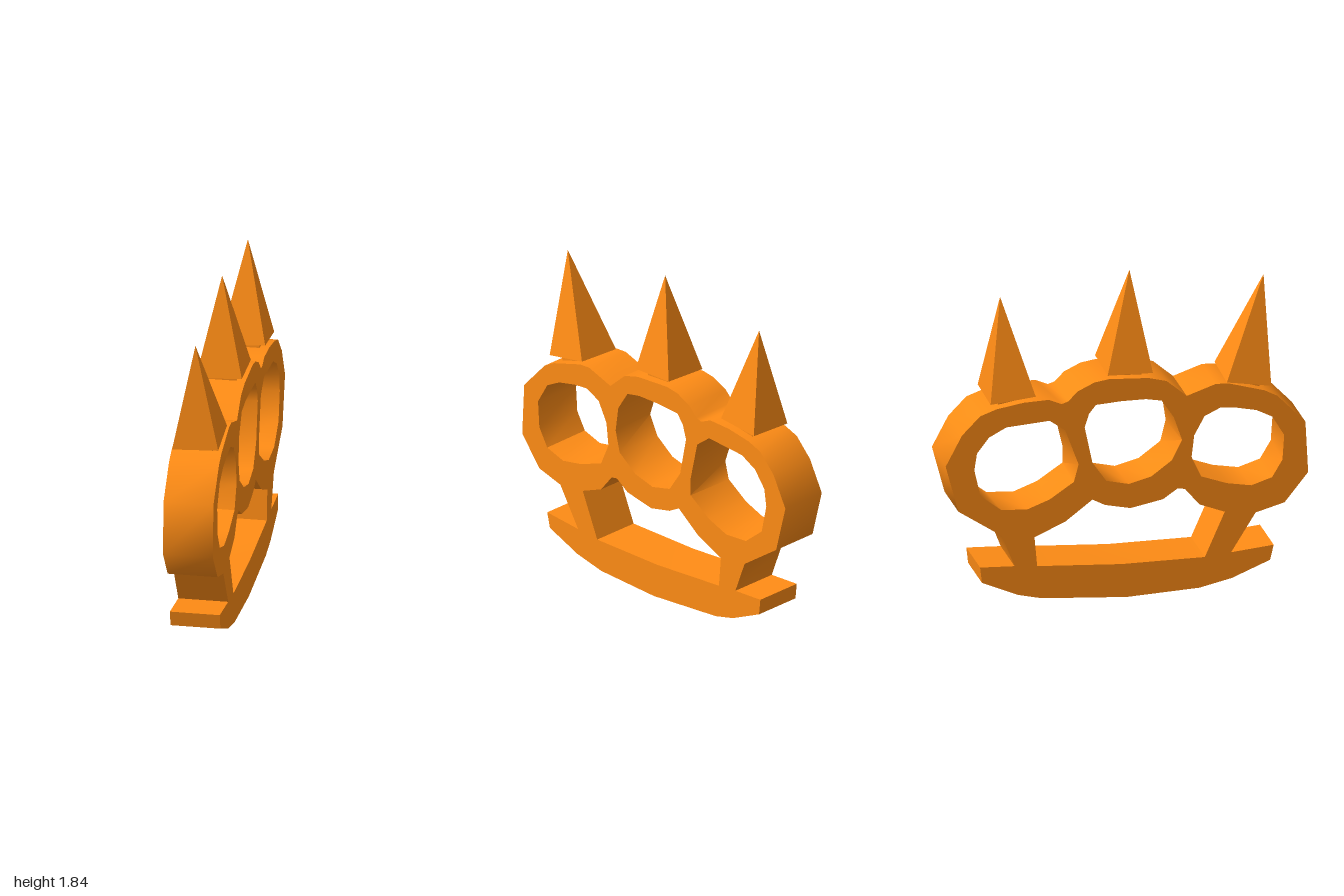
import * as THREE from 'three';
import { toCreasedNormals } from 'three/addons/utils/BufferGeometryUtils.js';

const material = new THREE.MeshStandardMaterial({ color: 0xff8c15 });
const HALF = 0.135; // half thickness of the plate

// Profiles are [z, y] pairs in the side plane
const toPoints = (pairs) => pairs.map(([z, y]) => new THREE.Vector2(-z, y));

const outline = [
  [1, 0.605], [0.985, 0.9], [0.83, 1.07], [0.76, 1.11], [0.56, 1.175], [0.49, 1.18], [0.33, 1.13],
  [0.22, 1.23], [0.12, 1.26], [-0.1, 1.28], [-0.18, 1.27], [-0.27, 1.23], [-0.325, 1.177], [-0.36, 1.167],
  [-0.43, 1.2], [-0.57, 1.2], [-0.72, 1.18], [-0.81, 1.15], [-0.91, 1.05], [-1, 0.88], [-0.93, 0.61],
  [-0.69, 0.44], [-0.62, 0.255], [-0.81, 0.27], [-0.8, 0.18], [-0.6, 0.085], [-0.47, 0.05],
  [0, 0], [0.4, 0.005], [0.58, 0.04], [0.79, 0.12], [0.81, 0.205], [0.575, 0.19], [0.71, 0.405], [0.87, 0.445],
];

const openings = [
  // front finger hole
  [[0.81, 0.96], [0.72, 1.01], [0.6, 1.04], [0.51, 1.05], [0.42, 1.01], [0.36, 0.9], [0.345, 0.77],
    [0.4, 0.645], [0.55, 0.585], [0.69, 0.555], [0.81, 0.59], [0.87, 0.69], [0.88, 0.84]],
  // middle finger hole
  [[0.2, 1.13], [0.11, 1.15], [-0.03, 1.155], [-0.18, 1.15], [-0.22, 1.1], [-0.245, 1.02], [-0.2, 0.8],
    [-0.12, 0.68], [0.01, 0.645], [0.14, 0.675], [0.26, 0.76], [0.29, 0.88], [0.27, 1.02]],
  // rear finger hole
  [[-0.33, 1.02], [-0.42, 1.09], [-0.67, 1.08], [-0.77, 1.03], [-0.84, 0.94], [-0.855, 0.84], [-0.82, 0.68],
    [-0.7, 0.58], [-0.55, 0.565], [-0.42, 0.61], [-0.28, 0.7], [-0.28, 0.8]],
  // wide gap above the palm bar
  [[0.43, 0.18], [0.54, 0.43], [0.4, 0.49], [0.32, 0.59], [0.28, 0.598], [0.2, 0.545], [0.02, 0.515],
    [-0.12, 0.55], [-0.19, 0.59], [-0.34, 0.48], [-0.51, 0.41], [-0.495, 0.24], [-0.03, 0.195]],
];
const fingerCentres = [[0.61, 0.8], [0.02, 0.9], [-0.56, 0.82]];

function createPlate() {
  const shape = new THREE.Shape(toPoints(outline));
  // Holes run opposite to the outline so their walls face inward
  shape.holes = openings.map((pairs) => new THREE.Path(toPoints(pairs).reverse()));
  const geometry = new THREE.ExtrudeGeometry(shape, { depth: 2 * HALF, bevelEnabled: false });
  geometry.translate(0, 0, -HALF).rotateY(Math.PI / 2);

  // Finger holes narrow slightly towards the right side
  const p = geometry.attributes.position;
  for (let i = 0; i < p.count; i++) {
    if (p.getX(i) > 0) continue;
    for (const [cz, cy] of fingerCentres) {
      const dz = p.getZ(i) - cz, dy = p.getY(i) - cy;
      if (Math.hypot(dz, dy) < 0.33) {
        p.setZ(i, cz + dz * 0.955);
        p.setY(i, cy + dy * 0.955);
        break;
      }
    }
  }
  const plate = new THREE.Mesh(toCreasedNormals(geometry, 0.745), material);
  plate.name = 'gripPlate';
  return plate;
}

// Square pyramid on a short neck; base and tip are [z, y]
function createSpike(name, base, tip) {
  const dz = tip[0] - base[0], dy = tip[1] - base[1];
  const height = Math.hypot(dz, dy);

  let pyramid = new THREE.ConeGeometry(0.125 * Math.SQRT2, height, 4, 1);
  pyramid.rotateY(Math.PI / 4).translate(0, height / 2, 0);
  // The underside leans slightly to one side
  const p = pyramid.attributes.position;
  for (let i = 0; i < p.count; i++) p.setY(i, p.getY(i) + 0.05 * p.getX(i));
  pyramid = pyramid.toNonIndexed();
  pyramid.computeVertexNormals();

  const point = new THREE.Mesh(pyramid, material);
  point.name = name + 'Point';
  const neck = new THREE.Mesh(new THREE.BoxGeometry(0.17, 0.08, 0.15), material);
  neck.name = name + 'Neck';
  neck.position.y = -0.025;

  const spike = new THREE.Group();
  spike.name = name;
  spike.add(point, neck);
  spike.position.set(0, base[1], base[0]);
  spike.rotation.x = Math.atan2(dz, dy);
  return spike;
}

export function createModel() {
  const model = new THREE.Group();
  model.name = 'spikedKnuckleGrip';
  model.add(
    createPlate(),
    createSpike('frontSpike', [0.678, 1.158], [0.792, 1.725]),
    createSpike('middleSpike', [0.022, 1.295], [0.052, 1.84]),
    createSpike('rearSpike', [-0.625, 1.22], [-0.662, 1.77]),
  );
  return model;
}
